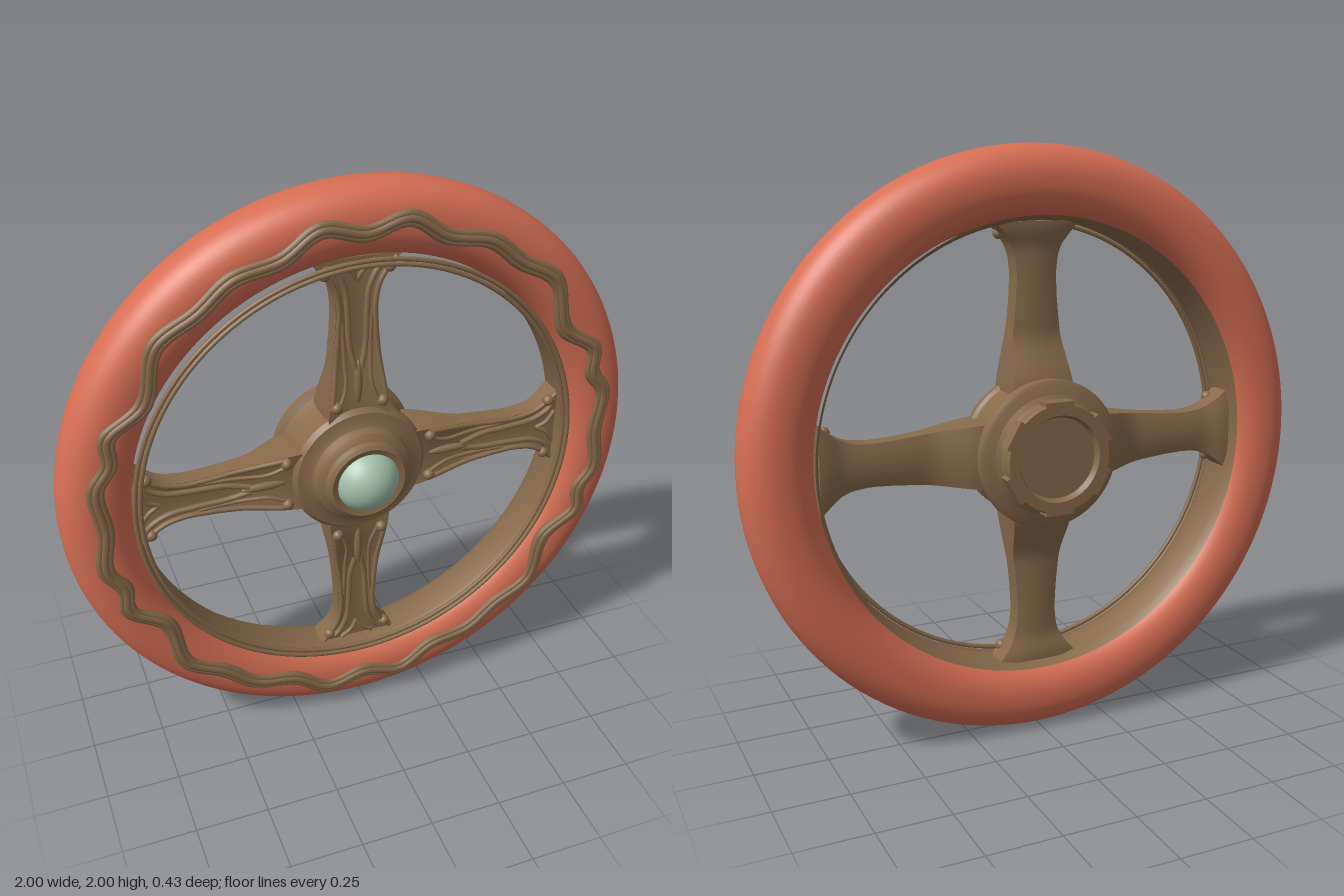
import * as THREE from 'three';
import { toCreasedNormals } from 'three/addons/utils/BufferGeometryUtils.js';

const material = (name, color, side = THREE.FrontSide) => {
  const m = new THREE.MeshStandardMaterial({ color, side });
  m.name = name;
  return m;
};
const lerp = THREE.MathUtils.lerp;
const smooth = THREE.MathUtils.smoothstep;

// Piecewise interpolation through [position, value] pairs
function sample(table, t) {
  for (let i = 1; i < table.length; i++) {
    const [a, va] = table[i - 1], [b, vb] = table[i];
    if (t <= b) return lerp(va, vb, (t - a) / (b - a));
  }
  return table[table.length - 1][1];
}

export function createModel() {
  const coral = material('coral grip', 0xd66e54);
  const bronze = material('bronze', 0x876a4a);
  const jade = material('pale green', 0xa2c1ab);

  const model = new THREE.Group();
  model.name = 'handwheel';
  const wheel = new THREE.Group();
  wheel.name = 'wheel';
  wheel.position.y = 1;
  model.add(wheel);

  const add = (parent, name, geometry, mat) => {
    const mesh = new THREE.Mesh(geometry, mat);
    mesh.name = name;
    parent.add(mesh);
    return mesh;
  };
  // Profile of [radius, z] turned about the z axis
  const turned = (profile, segments = 64, crease = 0.6) => {
    const g = new THREE.LatheGeometry(profile.map(p => new THREE.Vector2(...p)), segments);
    g.rotateX(Math.PI / 2);
    return crease ? toCreasedNormals(g, crease) : g;
  };
  const tube = (points, radius, segments = 30, closed = false) =>
    new THREE.TubeGeometry(new THREE.CatmullRomCurve3(
      points.map(p => new THREE.Vector3(...p)), closed), segments, radius, 8, closed);

  // Grip: rounded, slightly squared section
  const power = (v, e) => Math.sign(v) * Math.abs(v) ** e;
  const section = [];
  for (let i = 0; i <= 40; i++) {
    const a = i / 40 * Math.PI * 2;
    section.push([0.882 + 0.118 * power(Math.cos(a), 0.88), 0.11 * power(Math.sin(a), 0.88)]);
  }
  add(wheel, 'grip', turned(section, 128, 0), coral);

  // Inner band, facing the axle, with two thin beads on its front edge
  add(wheel, 'innerBand', turned([
    [0.775, 0.09], [0.765, 0.08], [0.758, 0.05], [0.757, -0.05], [0.775, -0.085],
  ], 128), bronze);
  for (const [r, z, t] of [[0.75, 0.085, 0.008], [0.768, 0.088, 0.008]]) {
    const g = new THREE.TorusGeometry(r, t, 8, 128);
    g.translate(0, 0, z);
    add(wheel, 'bandBead', g, bronze);
  }

  // Wavy ornament: one quarter of the course (degrees from the spoke, radius), mirrored
  const quarter = [[0, 0.865], [9, 0.905], [18, 0.86], [28, 0.885], [37, 0.87],
    [47, 0.895], [59, 0.825], [68, 0.89], [74, 0.865], [80, 0.895]];
  const course = [];
  for (const [start, dir] of [[0, 1], [180, -1], [180, 1], [360, -1]]) {
    const part = quarter.concat([[90, 0.868]]).map(([d, r]) => [start + dir * d, r]);
    if (dir < 0) part.reverse();
    course.push(...part.slice(0, -1));
  }
  for (const [offset, z, t] of [[-0.016, 0.106, 0.013], [0, 0.11, 0.015], [0.016, 0.106, 0.013]]) {
    const points = course.map(([d, r]) => {
      const a = d * Math.PI / 180;
      return [(r + offset) * Math.sin(a), (r + offset) * Math.cos(a), z];
    });
    add(wheel, 'wavyOrnament', tube(points, t, 400, true), bronze);
  }

  // Spokes: a box shaped by width and depth along its length
  const widths = [[0.1, 0.11], [0.22, 0.108], [0.3, 0.098], [0.4, 0.084], [0.5, 0.074],
    [0.58, 0.07], [0.64, 0.076], [0.68, 0.09], [0.72, 0.118], [0.755, 0.15]];
  const front = r => 0.03 + 0.03 * (1 - smooth(r, 0.2, 0.45));
  const back = r => -0.045 - 0.06 * (1 - smooth(r, 0.2, 0.4)) - 0.015 * smooth(r, 0.66, 0.74);
  const spokeGeometry = () => {
    const g = new THREE.BoxGeometry(1, 1, 1, 6, 36, 1);
    const p = g.attributes.position;
    for (let i = 0; i < p.count; i++) {
      const r = lerp(0.1, 0.755, p.getY(i) + 0.5);
      const u = p.getX(i) * 2;
      const z = p.getZ(i) > 0 ? front(r) - 0.012 * (1 - u * u) : back(r) + 0.012 * u * u;
      p.setXYZ(i, u * sample(widths, r), r, z);
    }
    return toCreasedNormals(g, 0.7);
  };
  for (let k = 0; k < 4; k++) {
    const spoke = new THREE.Group();
    spoke.name = 'spoke';
    spoke.rotation.z = k * Math.PI / 2;
    wheel.add(spoke);
    add(spoke, 'spokeArm', spokeGeometry(), bronze);

    for (const s of [-1, 1]) {
      // Edge moulding
      const edge = [];
      for (let i = 0; i <= 12; i++) {
        const r = lerp(0.25, 0.745, i / 12);
        edge.push([s * (sample(widths, r) - 0.01), r, front(r)]);
      }
      add(spoke, 'edgeMoulding', tube(edge, 0.009, 40), bronze);
      // Inner ridge curling outward at the rim
      add(spoke, 'innerRidge', tube([
        [0.01 * s, 0.38, 0.04], [0.027 * s, 0.46, 0.032], [0.033 * s, 0.58, 0.03],
        [0.042 * s, 0.66, 0.03], [0.075 * s, 0.72, 0.03], [0.11 * s, 0.735, 0.03],
        [0.118 * s, 0.72, 0.03],
      ], 0.01), bronze);
      // Small leaf arch at the rim end
      add(spoke, 'leafArch', tube([
        [0, 0.68, 0.025], [0.02 * s, 0.715, 0.03], [0.06 * s, 0.745, 0.03],
      ], 0.008, 12), bronze);
      // Scroll buttons at both ends
      for (const [x, r] of [[0.08, 0.255], [0.107, 0.715]]) {
        const button = add(spoke, 'scrollButton', new THREE.SphereGeometry(0.02, 14, 10), bronze);
        button.position.set(s * x, r, front(r));
      }
      // Ridge from the hub scroll towards the middle of the arm
      add(spoke, 'hubRidge', tube([
        [0.07 * s, 0.25, 0.056], [0.045 * s, 0.32, 0.046], [0.045 * s, 0.42, 0.03],
        [0.05 * s, 0.55, 0.026],
      ], 0.007, 20), bronze);
    }
    // Central leaf near the hub
    const leaf = add(spoke, 'centreLeaf', new THREE.SphereGeometry(1, 12, 10), bronze);
    leaf.scale.set(0.014, 0.08, 0.014);
    leaf.position.set(0, 0.33, 0.04);
  }

  // Hub: rear flange, stepped front and collar for the button
  add(wheel, 'hub', turned([
    [0, -0.15], [0.235, -0.15], [0.25, -0.14], [0.25, -0.115], [0.235, -0.105],
    [0.225, -0.06], [0.225, 0.02], [0.236, 0.03], [0.236, 0.05], [0.222, 0.066],
    [0.19, 0.07], [0.175, 0.078], [0.168, 0.105], [0.155, 0.115], [0.145, 0.12],
    [0.14, 0.138], [0.128, 0.146], [0.11, 0.14], [0, 0.13],
  ]), bronze);

  // Rear boss with a shallow recess
  add(wheel, 'rearBoss', turned([
    [0, -0.195], [0.135, -0.195], [0.145, -0.215], [0.18, -0.215], [0.184, -0.205],
    [0.18, -0.175], [0.185, -0.16], [0.205, -0.148],
  ]), bronze);
  for (let k = 0; k < 6; k++) {
    const lug = new THREE.BoxGeometry(0.1, 0.03, 0.05);
    lug.translate(0, 0.174, -0.19);
    lug.rotateZ(k * Math.PI / 3);
    add(wheel, 'bossLug', lug, bronze);
  }

  // Domed centre button
  const dome = add(wheel, 'centreButton', new THREE.SphereGeometry(0.115, 40, 28), jade);
  dome.position.z = 0.1;

  return model;
}
